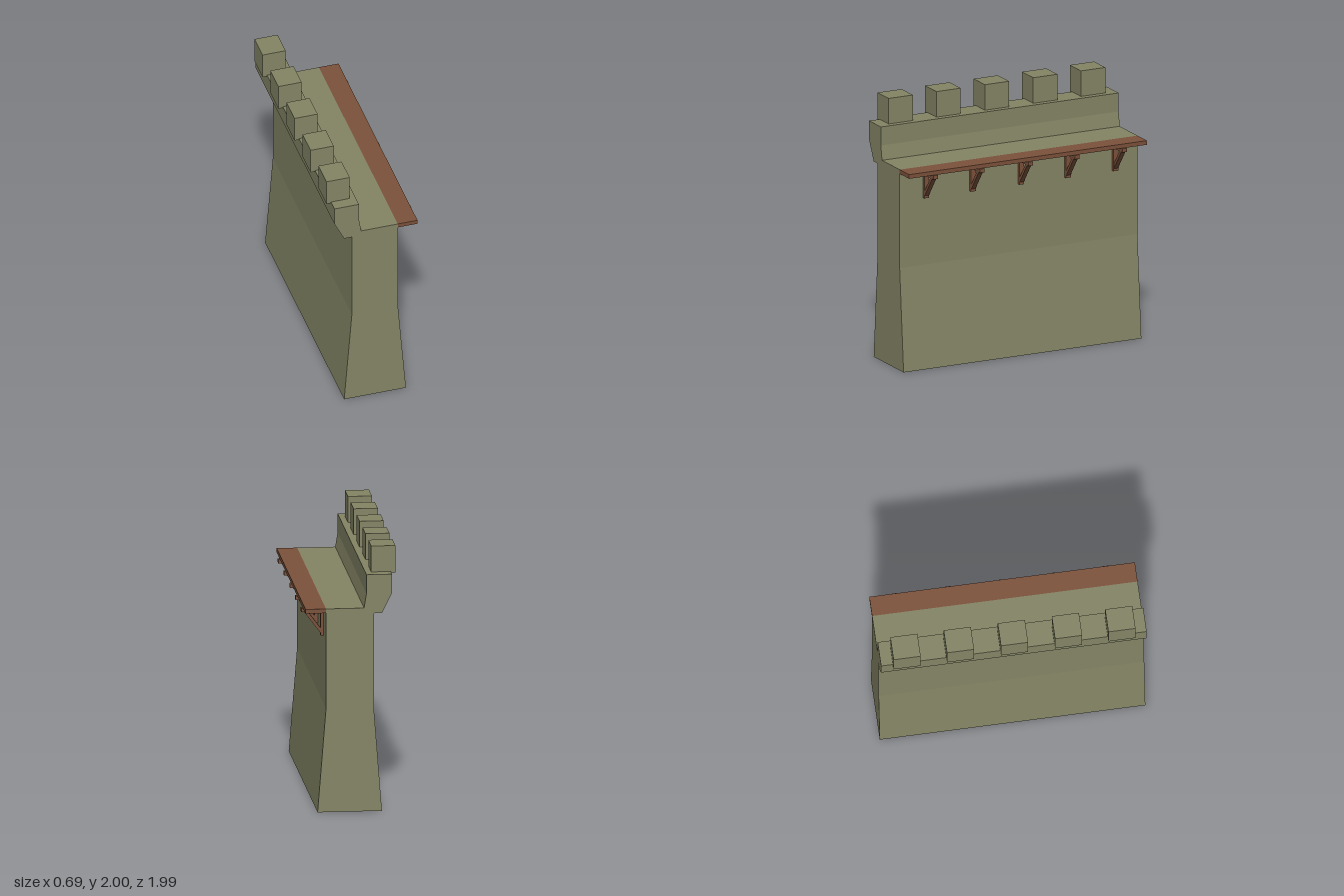
import * as THREE from 'three';

const HALF = 0.995; // half the wall length

// Extrude an XY outline along z, centred on z = 0
function prism(points, depth, material, name) {
  const shape = new THREE.Shape(points.map(([x, y]) => new THREE.Vector2(x, y)));
  const geo = new THREE.ExtrudeGeometry(shape, { depth, bevelEnabled: false });
  geo.translate(0, 0, -depth / 2);
  const mesh = new THREE.Mesh(geo, material);
  mesh.name = name;
  return mesh;
}

// Box given by its x and y limits, centred on z = 0
function block(x0, x1, y0, y1, depth, material, name) {
  const geo = new THREE.BoxGeometry(x1 - x0, y1 - y0, depth);
  geo.translate((x0 + x1) / 2, (y0 + y1) / 2, 0);
  const mesh = new THREE.Mesh(geo, material);
  mesh.name = name;
  return mesh;
}

export function createModel() {
  const stone = new THREE.MeshStandardMaterial({ color: 0x848565 });
  stone.name = 'stone';
  const wood = new THREE.MeshStandardMaterial({ color: 0x7c523b });
  wood.name = 'wood';

  const model = new THREE.Group();
  model.name = 'castleWall';

  // Wall with flared foot, walkway and overhanging parapet
  model.add(prism([
    [-0.24, 0], [0.24, 0], [0.177, 0.79], [0.177, 1.55],
    [-0.107, 1.55], [-0.125, 1.66], [-0.125, 1.803], [-0.315, 1.803],
    [-0.315, 1.66], [-0.24, 1.508], [-0.18, 1.508], [-0.18, 0.78],
  ], HALF * 2, stone, 'wall'));

  // Merlons along the parapet
  for (const z of [-0.805, -0.405, 0, 0.405, 0.805]) {
    const merlon = block(-0.35, -0.17, 1.793, 2, 0.203, stone, 'merlon');
    merlon.position.z = z;
    model.add(merlon);
  }

  // Timber extension of the walkway
  model.add(block(0.177, 0.33, 1.518, 1.55, HALF * 2, wood, 'walkwayPlank'));

  // Brackets below the plank: post, arm and diagonal strut
  for (const z of [-0.803, -0.405, -0.015, 0.39, 0.78]) {
    const bracket = new THREE.Group();
    bracket.name = 'bracket';
    bracket.add(
      block(0.175, 0.2, 1.308, 1.518, 0.04, wood, 'post'),
      block(0.175, 0.343, 1.489, 1.519, 0.04, wood, 'arm'),
      prism([[0.198, 1.325], [0.322, 1.49], [0.292, 1.49], [0.198, 1.363]], 0.036, wood, 'strut'),
    );
    bracket.position.z = z;
    model.add(bracket);
  }
  return model;
}
